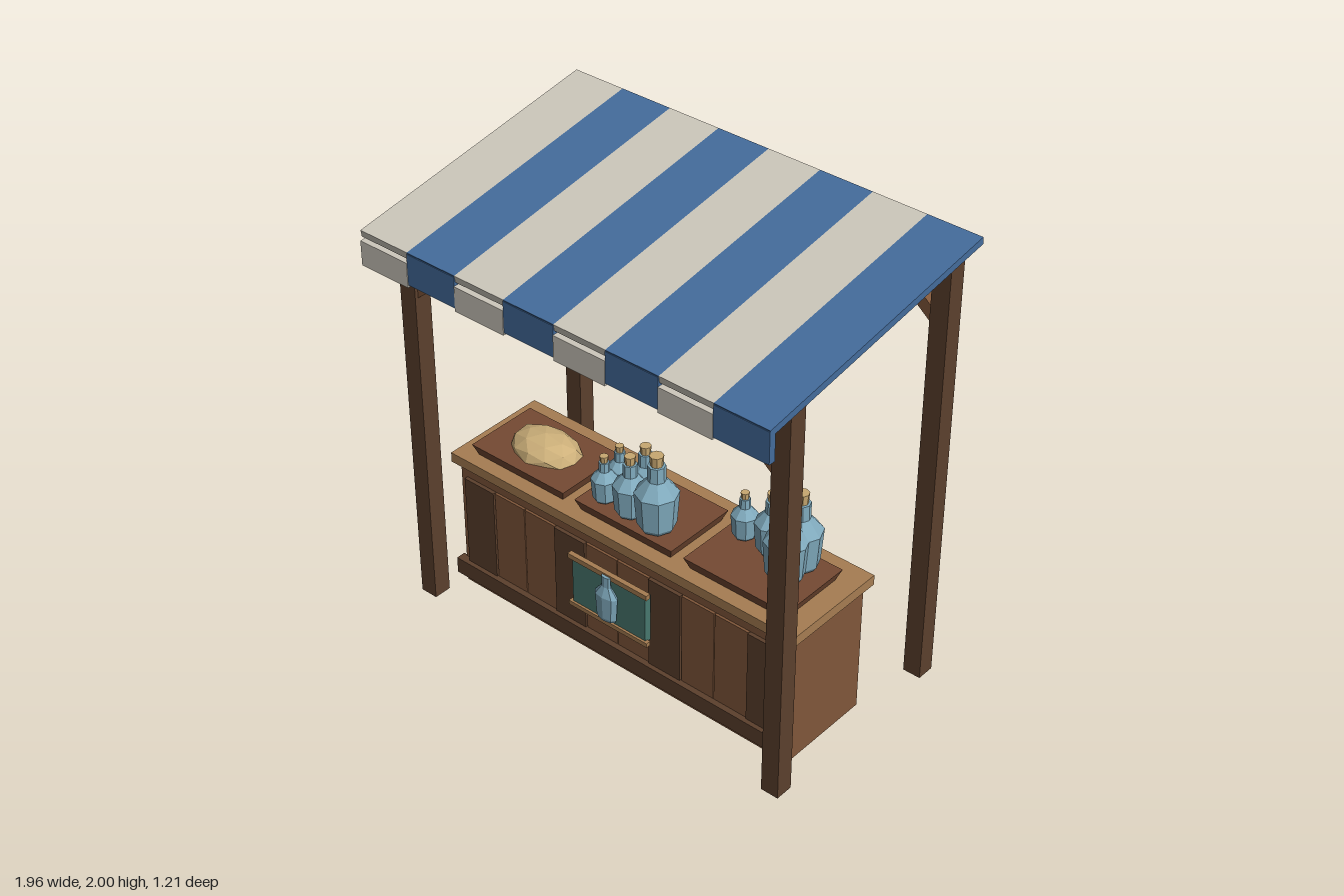
import * as THREE from 'three';

const mat = (name, color) => {
  const m = new THREE.MeshStandardMaterial({ color });
  m.name = name;
  return m;
};

export function createModel() {
  const root = new THREE.Group();
  root.name = 'marketStall';

  const cream = mat('cream cloth', 0xcdc8bc);
  const blue = mat('blue cloth', 0x446c9c);
  const darkWood = mat('dark wood', 0x5c402d);
  const wood = mat('wood', 0x80573a);
  const paleWood = mat('pale wood', 0xa67d52);
  const trayWood = mat('tray wood', 0x754a33);
  const teal = mat('teal board', 0x48786f);
  const glass = mat('bottle glass', 0x80aabd);
  const cork = mat('cork', 0xc8a871);
  const crust = mat('bread crust', 0xcdb07a);

  const add = (name, geometry, material, parent = root) => {
    const mesh = new THREE.Mesh(geometry, material);
    mesh.name = name;
    parent.add(mesh);
    return mesh;
  };
  // Box given by its lower and upper limits
  const box = (name, material, x0, x1, y0, y1, z0, z1) => {
    const mesh = add(name, new THREE.BoxGeometry(x1 - x0, y1 - y0, z1 - z0), material);
    mesh.position.set((x0 + x1) / 2, (y0 + y1) / 2, (z0 + z1) / 2);
    return mesh;
  };
  const flat = (geometry) => {
    const g = geometry.index ? geometry.toNonIndexed() : geometry;
    g.computeVertexNormals();
    return g;
  };

  // Striped awning: sloping strips, each with a hanging flap
  const stripe = 0.245;
  for (let i = 0; i < 8; i++) {
    const x0 = -0.98 + i * stripe;
    const isCream = i % 2 === 0;
    const cloth = isCream ? cream : blue;
    const strip = add('awningStripe', new THREE.BoxGeometry(stripe, 0.03, 1.212), cloth);
    strip.position.set(x0 + stripe / 2, 1.885, 0);
    strip.rotation.x = Math.atan2(0.2, 1.2);
    if (isCream) box('awningFlap', cloth, x0, x0 + stripe, 1.65, 1.757, 0.578, 0.605);
    else box('awningFlap', cloth, x0, x0 + stripe, 1.66, 1.795, 0.572, 0.602);
  }

  // Four posts with diagonal braces
  for (const side of [-1, 1]) {
    for (const [z, height, braceY] of [[0.41, 1.79, 1.62], [-0.495, 1.95, 1.8]]) {
      box('post', darkWood, side * 0.91 - 0.04, side * 0.91 + 0.04, 0, height, z - 0.04, z + 0.04);
      const brace = add('brace', new THREE.BoxGeometry(0.42, 0.053, 0.05), wood);
      brace.position.set(side * 0.725, braceY, z);
      brace.rotation.z = -side * 0.685;
    }
  }

  // Counter
  box('counterBody', wood, -0.855, 0.855, 0, 0.61, -0.165, 0.275);
  box('counterTop', paleWood, -0.885, 0.885, 0.61, 0.655, -0.19, 0.3);
  box('bottomRail', darkWood, -0.875, 0.875, 0.05, 0.125, 0.27, 0.312);
  for (let i = 0; i < 10; i++) {
    const x = -0.825 + i * 0.165;
    const dark = i % 3 === 0;
    box('frontPlank', dark ? darkWood : wood, x + 0.002, x + 0.163, 0.12, 0.55, 0.27, dark ? 0.292 : 0.286);
  }

  // Trays with flared sides
  const trayGeometry = new THREE.BoxGeometry(0.5, 0.05, 0.34);
  const p = trayGeometry.attributes.position;
  for (let i = 0; i < p.count; i++) {
    if (p.getY(i) < 0) p.setXYZ(i, p.getX(i) * 0.92, p.getY(i), p.getZ(i) * 0.89);
  }
  const tray = flat(trayGeometry);
  for (const x of [-0.56, 0, 0.56]) add('tray', tray, trayWood).position.set(x, 0.68, 0.083);

  // Eight-sided bottles
  const profile = [[0, 0], [0.066, 0], [0.079, 0.02], [0.09, 0.165], [0.038, 0.225], [0.036, 0.292], [0, 0.292]];
  const bottleGeometry = flat(new THREE.LatheGeometry(profile.map(([r, y]) => new THREE.Vector2(r, y)), 8));
  const corkGeometry = flat(new THREE.CylinderGeometry(0.029, 0.025, 0.05, 8));
  const bottle = (name, x, y, z, size, corked = true) => {
    const group = new THREE.Group();
    group.name = name;
    add('bottleGlass', bottleGeometry, glass, group);
    if (corked) add('bottleCork', corkGeometry, cork, group).position.y = 0.312;
    group.position.set(x, y, z);
    group.scale.setScalar(size);
    root.add(group);
    return group;
  };
  const bottles = [
    [-0.16, 0.175, 0.61], [-0.16, 0.085, 0.61], [-0.025, 0.175, 0.8], [-0.025, 0.085, 0.8], [0.11, 0.175, 1],
    [0.4, -0.002, 0.61], [0.535, -0.002, 0.8], [0.67, -0.002, 1], [0.67, 0.085, 1],
  ];
  for (const [x, z, size] of bottles) bottle('bottle', x, 0.712, z, size);

  // Loaf: a squashed faceted ball with a slightly uneven crust
  const loaf = new THREE.IcosahedronGeometry(1, 1);
  const q = loaf.attributes.position;
  for (let i = 0; i < q.count; i++) {
    const [x, y, z] = [q.getX(i), q.getY(i), q.getZ(i)];
    const k = 1 + 0.06 * Math.sin(5 * x + 3 * z);
    q.setXYZ(i, x * 0.165 * k, Math.max(y, -0.25) * 0.085, z * 0.12 * k);
  }
  add('breadLoaf', flat(loaf), crust).position.set(-0.56, 0.702, 0.083);

  // Hanging sign with a flattened bottle
  box('signBoard', teal, -0.19, 0.19, 0.27, 0.495, 0.305, 0.337);
  box('signTopRail', paleWood, -0.205, 0.205, 0.495, 0.518, 0.325, 0.347);
  box('signBottomRail', paleWood, -0.205, 0.205, 0.26, 0.28, 0.325, 0.347);
  bottle('signBottle', 0, 0.3, 0.35, 1, false).scale.set(0.65, 0.72, 0.3);

  return root;
}
